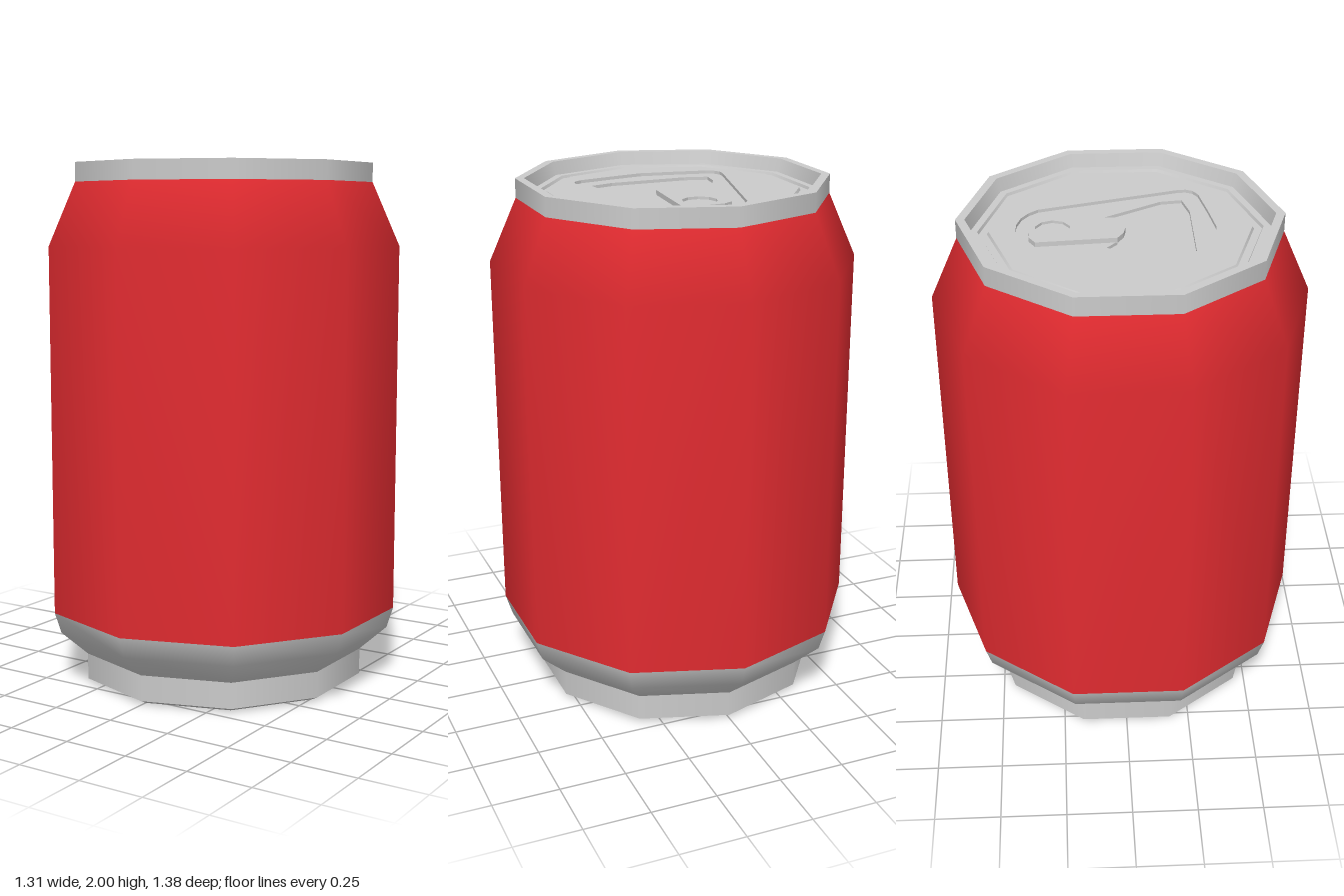
import * as THREE from 'three';

const SIDES = 10;
const grey = new THREE.MeshStandardMaterial({ color: 0xcccccc, side: THREE.DoubleSide });
const red = new THREE.MeshStandardMaterial({ color: 0xe02b30, side: THREE.DoubleSide });

// Ten-sided turned part; smooth along its profile of [radius, y] points
function turned(name, points, material = grey) {
  const profile = points.map(([r, y]) => new THREE.Vector2(r, y));
  const mesh = new THREE.Mesh(new THREE.LatheGeometry(profile, SIDES), material);
  mesh.name = name;
  return mesh;
}

// Flat plate from a plan shape, with its top at the given height
function plate(name, shape, top, thickness) {
  const geometry = new THREE.ExtrudeGeometry(shape, { depth: thickness, bevelEnabled: false, curveSegments: 5 });
  geometry.rotateX(-Math.PI / 2);
  geometry.translate(0, top - thickness, 0);
  const mesh = new THREE.Mesh(geometry, grey);
  mesh.name = name;
  return mesh;
}

// Symmetric outline from its right half, listed back to front as [x, z]
function outline(half) {
  const right = half.map(([x, z]) => new THREE.Vector2(x, -z));
  const left = right.filter(p => p.x > 0).reverse().map(p => new THREE.Vector2(-p.x, p.y));
  return [...right, ...left];
}

function decagon(radius) {
  return Array.from({ length: SIDES }, (_, i) => {
    const a = (i / SIDES) * Math.PI * 2;
    return new THREE.Vector2(Math.sin(a) * radius, Math.cos(a) * radius);
  });
}

function withHole(points, hole) {
  const shape = new THREE.Shape(points);
  if (hole) shape.holes.push(new THREE.Path(hole));
  return shape;
}

export function createModel() {
  const can = new THREE.Group();
  can.name = 'drinkCan';

  // Shell
  can.add(
    turned('bottomDome', [[0, 0.11], [0.2, 0.1], [0.38, 0.065], [0.53, 0]]),
    turned('bottomBevel', [[0.53, 0], [0.56, 0.015]]),
    turned('foot', [[0.56, 0.015], [0.56, 0.115]]),
    turned('lowerTaper', [[0.56, 0.115], [0.665, 0.21], [0.69, 0.29]]),
    turned('body', [[0.69, 0.29], [0.69, 1.69], [0.585, 1.928]], red),
    turned('neck', [[0.585, 1.928], [0.585, 2]])
  );

  // Rim and the stepped ring around the lid
  const ring = [[0.585, 2], [0.552, 2], [0.537, 1.95], [0.51, 1.95], [0.505, 1.94], [0.476, 1.94], [0.47, 1.95]];
  for (let i = 0; i < ring.length - 1; i++) can.add(turned('rimStep' + (i + 1), [ring[i], ring[i + 1]]));

  // Lid with a sunken panel and a deeper mouth
  const panel = outline([
    [0, -0.375], [0.05, -0.372], [0.1, -0.355], [0.135, -0.33], [0.163, -0.295], [0.3, 0.225],
    [0.302, 0.255], [0.29, 0.28], [0.26, 0.298], [0.13, 0.322], [0, 0.342]
  ]);
  const mouth = outline([
    [0.07, -0.015], [0.115, -0.055], [0.23, 0.155], [0.24, 0.235], [0.15, 0.258]
  ]);
  can.add(
    plate('lid', withHole(decagon(0.47), panel), 1.95, 0.012),
    plate('sunkenPanel', withHole(panel, mouth), 1.938, 0.012),
    plate('mouthFloor', withHole(mouth), 1.926, 0.01)
  );

  // Pull tab with its finger hole
  const tab = outline([
    [0, -0.33], [0.06, -0.327], [0.098, -0.305], [0.076, -0.015], [0.04, 0.008], [0, 0.016]
  ]);
  const hole = new THREE.Path().absarc(0, 0.243, 0.065, 0, Math.PI * 2, true).getPoints(5);
  can.add(
    plate('pullTab', withHole(tab, hole), 1.956, 0.02),
    plate('fingerHoleFloor', withHole(hole), 1.946, 0.006)
  );
  return can;
}
